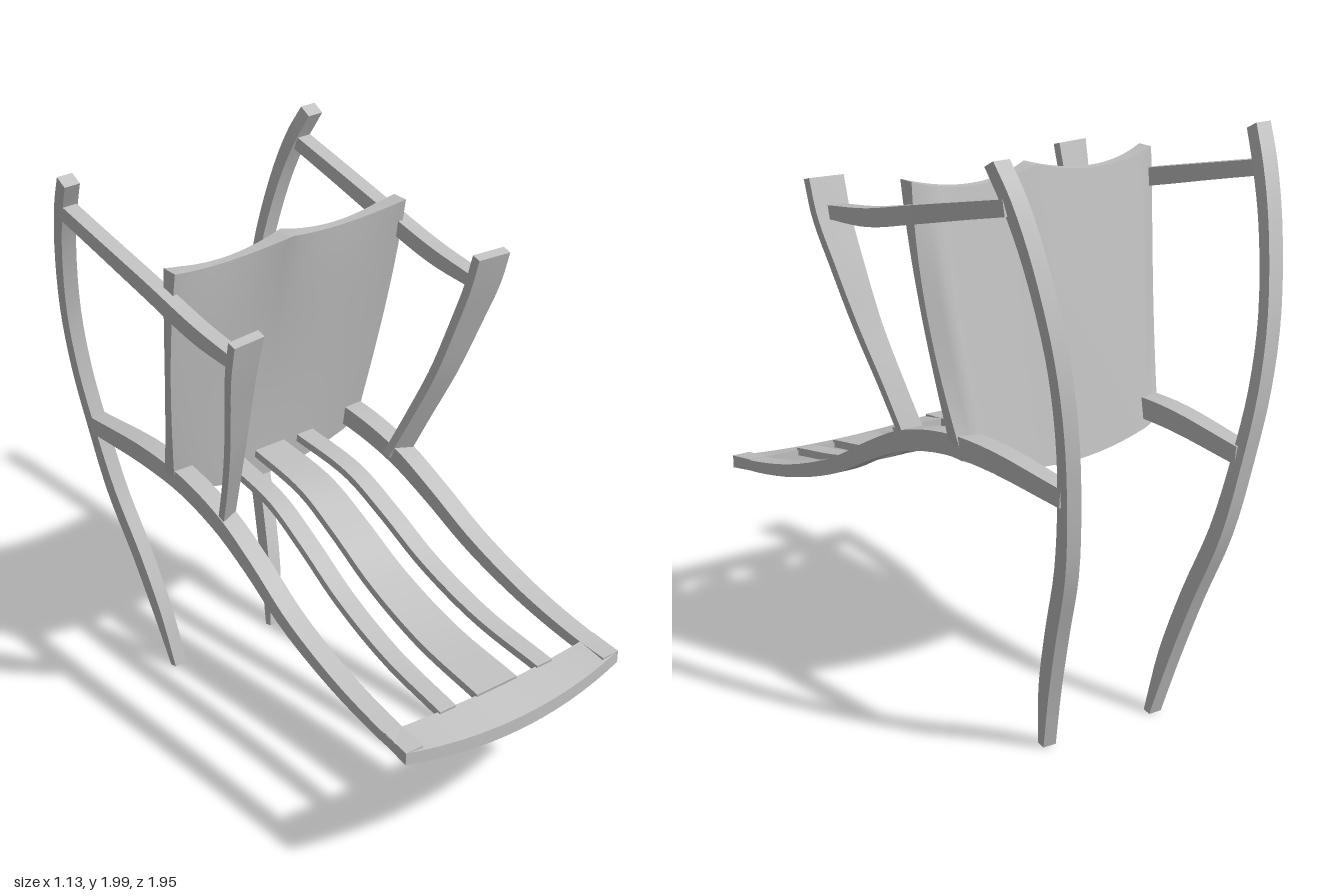
import * as THREE from 'three';
import { toCreasedNormals } from 'three/addons/utils/BufferGeometryUtils.js';

const wood = new THREE.MeshStandardMaterial({ color: 0xbfbfbf });
wood.name = 'plain grey';

// Closed skin over a row of rings, each with an even number of [x, y, z] points.
function loft(rings) {
  const n = rings[0].length, last = rings.length - 1, tris = [];
  const quad = (a, b, c, d) => tris.push([a, b, c], [a, c, d]);
  for (let i = 0; i < last; i++) {
    for (let j = 0; j < n; j++) {
      const k = (j + 1) % n;
      quad(rings[i][j], rings[i][k], rings[i + 1][k], rings[i + 1][j]);
    }
  }
  for (let j = 0; j < n / 2 - 1; j++) {
    const a = rings[0], b = rings[last], p = n - 1 - j;
    quad(a[j], a[p], a[p - 1], a[j + 1]);
    quad(b[j], b[j + 1], b[p - 1], b[p]);
  }
  // turn the skin outwards if its enclosed volume comes out negative
  let volume = 0;
  for (const [a, b, c] of tris) {
    volume += a[0] * (b[1] * c[2] - b[2] * c[1])
      + a[1] * (b[2] * c[0] - b[0] * c[2])
      + a[2] * (b[0] * c[1] - b[1] * c[0]);
  }
  if (volume < 0) tris.forEach((t) => t.reverse());
  const geometry = new THREE.BufferGeometry();
  geometry.setAttribute('position', new THREE.Float32BufferAttribute(tris.flat(2), 3));
  return toCreasedNormals(geometry, 0.6);
}

// Bent bar through stations [x, y, z, width in x, thickness, twist].
function bar(stations, side = 1, steps = 28) {
  const path = new THREE.CatmullRomCurve3(stations.map((s) => new THREE.Vector3(s[0], s[1], s[2])));
  const size = new THREE.CatmullRomCurve3(
    stations.map((s, i) => new THREE.Vector3(s[3], s[4], s[5] || 0)), false, 'catmullrom');
  const rings = [];
  for (let i = 0; i <= steps; i++) {
    const p = path.getPoint(i / steps), t = path.getTangent(i / steps), s = size.getPoint(i / steps);
    const len = Math.hypot(t.y, t.z), ny = -t.z / len, nz = t.y / len;
    rings.push([[-1, -1], [1, -1], [1, 1], [-1, 1]].map(([a, b]) => {
      const dx = a * s.x / 2, d = b * s.y / 2;
      return [side * (p.x + dx), p.y + ny * d, p.z + nz * d + s.z * dx];
    }));
  }
  return loft(rings);
}

export function createModel() {
  const model = new THREE.Group();
  const add = (name, geometry) => {
    const mesh = new THREE.Mesh(geometry, wood);
    mesh.name = name;
    model.add(mesh);
  };

  const legPath = [
    [0.222, 0.005, -0.655, 0.05, 0.03], [0.25, 0.22, -0.705, 0.052, 0.055],
    [0.28, 0.45, -0.78, 0.053, 0.06], [0.315, 0.69, -0.87, 0.054, 0.058],
    [0.35, 0.945, -0.925, 0.055, 0.05], [0.385, 1.18, -0.955, 0.056, 0.046],
    [0.42, 1.42, -0.95, 0.057, 0.045], [0.46, 1.69, -0.895, 0.058, 0.048],
    [0.488, 1.87, -0.83, 0.06, 0.052], [0.51, 1.985, -0.77, 0.06, 0.05],
  ];
  const railPath = [
    [0.425, 0.59, 0.93, 0.07, 0.035], [0.42, 0.605, 0.78, 0.07, 0.04],
    [0.412, 0.655, 0.54, 0.07, 0.046], [0.402, 0.745, 0.28, 0.07, 0.055],
    [0.39, 0.855, 0.07, 0.07, 0.062], [0.382, 0.935, -0.11, 0.07, 0.07],
    [0.373, 0.985, -0.33, 0.072, 0.072], [0.365, 0.993, -0.56, 0.072, 0.072],
    [0.352, 0.96, -0.92, 0.062, 0.062],
  ];
  const armPath = [
    [0.372, 0.93, -0.12, 0.07, 0.03, 0.4], [0.405, 1.1, -0.045, 0.07, 0.032, 0.35],
    [0.445, 1.3, 0.04, 0.08, 0.034, 0.28], [0.478, 1.5, 0.11, 0.1, 0.034, 0.2],
    [0.5, 1.65, 0.16, 0.117, 0.034, 0.15], [0.505, 1.775, 0.196, 0.125, 0.034, 0.1],
  ];
  const stretcherPath = [
    [0.49, 1.665, 0.165, 0.055, 0.045], [0.49, 1.69, -0.07, 0.055, 0.06],
    [0.49, 1.75, -0.34, 0.055, 0.06], [0.493, 1.81, -0.6, 0.055, 0.055],
    [0.495, 1.86, -0.82, 0.055, 0.052],
  ];
  for (const [word, side] of [['left', 1], ['right', -1]]) {
    add(word + 'Leg', bar(legPath, side, 36));
    add(word + 'BackRail', bar(railPath, side, 36));
    add(word + 'ArmPaddle', bar(armPath, side));
    add(word + 'SideStretcher', bar(stretcherPath, side));
  }

  // slats follow the bend of the rails
  const slat = (x0, x1, w0, w1) => bar([
    [0.605, 0.84], [0.655, 0.54], [0.745, 0.28], [0.855, 0.07], [0.935, -0.11], [0.975, -0.39],
  ].map(([y, z]) => {
    const k = (0.84 - z) / 1.23;
    return [x0 + (x1 - x0) * k, y, z, w0 + (w1 - w0) * k, 0.028];
  }));
  add('centreSlat', slat(0, 0, 0.172, 0.125));
  add('leftSlat', slat(0.21, 0.155, 0.066, 0.07));
  add('rightSlat', slat(-0.21, -0.155, 0.066, 0.07));

  // crest board sags and bows forward in the middle
  const crest = [];
  for (let i = 0; i <= 20; i++) {
    const u = i / 10 - 1, s = 1 - u * u, x = 0.46 * u;
    crest.push([
      [x, 0.607 - 0.037 * s, 0.93 + 0.04 * s], [x, 0.562 - 0.042 * s, 0.93 + 0.04 * s],
      [x * 0.99, 0.58 - 0.03 * s, 0.82 + 0.015 * s], [x * 0.99, 0.622 - 0.012 * s, 0.82 + 0.015 * s],
    ]);
  }
  add('crestBoard', loft(crest));

  // dished seat panel with a two-lobed edge and chamfered ends
  const seat = [], rows = 18;
  for (let i = 0; i <= 40; i++) {
    const u = i / 20 - 1, a = Math.abs(u), lobe = (1 - 2 * a) ** 2;
    const point = (v, back) => {
      const x = u * (0.4 + 0.08 * Math.sin(v * Math.PI / 2));
      const bottom = 0.87 + 0.08 * u * u, top = 1.8 + 0.037 * lobe;
      const dish = 0.04 * (1 - lobe) * v ** 3 + 0.02 * (1 - u * u) * Math.sin(Math.PI * v);
      const chamfer = 0.04 * Math.max(0, (a - 0.85) / 0.15) * Math.sin(Math.PI * (0.1 + 0.8 * v));
      const z = back ? -0.45 + 0.16 * v + chamfer : -0.378 + 0.163 * v - dish;
      return [x, bottom + (top - bottom) * v, z];
    };
    const ring = [];
    for (let j = 0; j <= rows; j++) ring.push(point(j / rows, false));
    for (let j = rows; j >= 0; j--) ring.push(point(j / rows, true));
    seat.push(ring);
  }
  add('seatPanel', loft(seat));
  return model;
}
